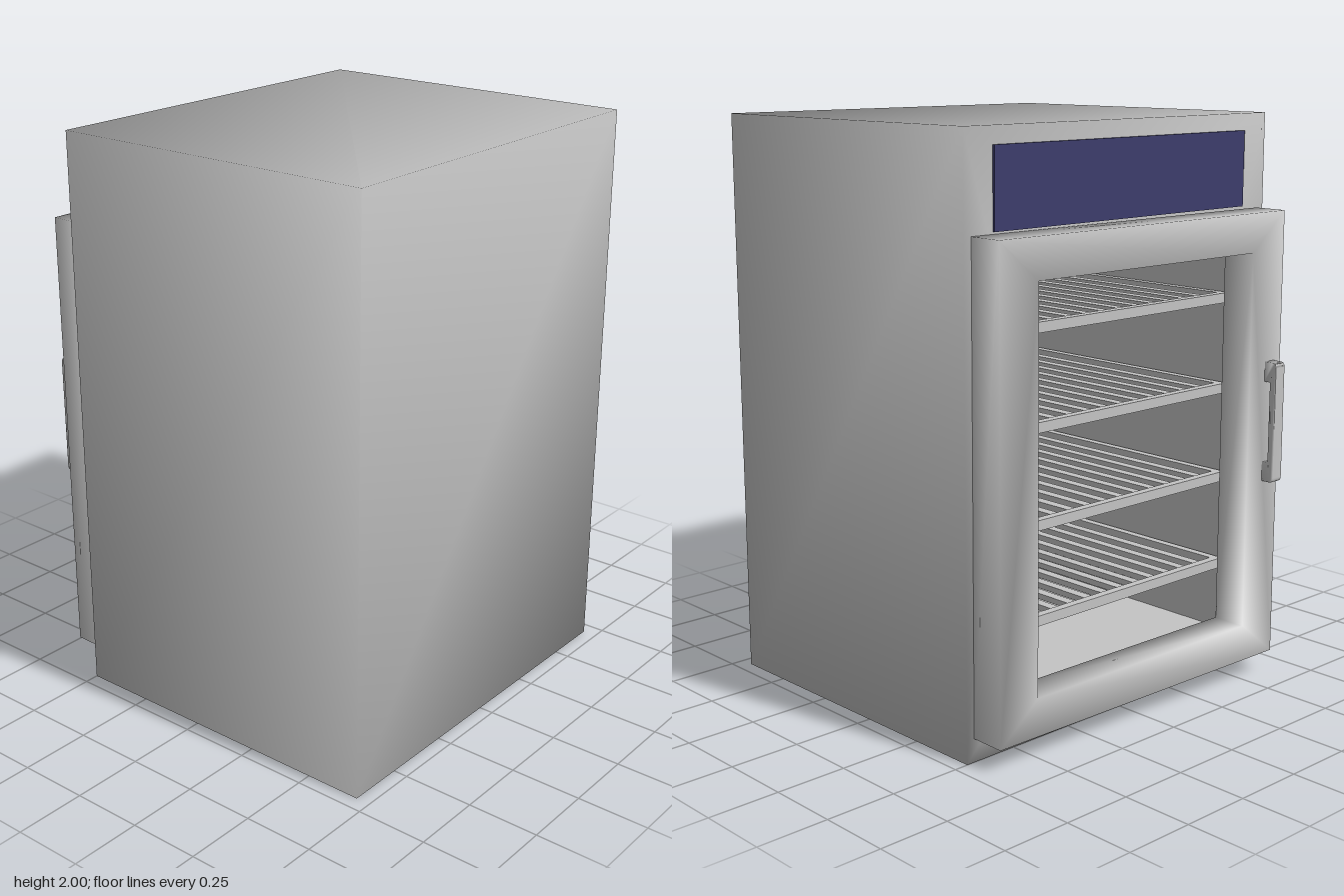
import * as THREE from 'three';
import { mergeVertices, mergeGeometries } from 'three/addons/utils/BufferGeometryUtils.js';

// weld corners so the shading runs softly across the edges
function soften(geo) {
  geo.deleteAttribute('normal');
  geo.deleteAttribute('uv');
  const g = mergeVertices(geo, 1e-4);
  g.computeVertexNormals();
  return g;
}

function rectPoints(x0, y0, x1, y1) {
  return [[x0, y0], [x1, y0], [x1, y1], [x0, y1]].map(([x, y]) => new THREE.Vector2(x, y));
}

// rectangle with a rectangular hole
function frameShape(outer, inner) {
  const s = new THREE.Shape(rectPoints(...outer));
  s.holes.push(new THREE.Path(rectPoints(...inner).reverse()));
  return s;
}

// box whose -z side is left out
function openBox(x0, x1, y0, y1, z0, z1) {
  const g = new THREE.BoxGeometry(x1 - x0, y1 - y0, z1 - z0);
  g.setIndex(Array.from(g.index.array).slice(0, 30));
  g.translate((x0 + x1) / 2, (y0 + y1) / 2, (z0 + z1) / 2);
  return g;
}

export function createModel() {
  const model = new THREE.Group();
  model.name = 'displayFridge';
  const grey = new THREE.MeshStandardMaterial({ color: 0xc4c4c4 });
  grey.name = 'grey metal';
  const blue = new THREE.MeshStandardMaterial({ color: 0x3c3c6c });
  blue.name = 'blue panel';

  const add = (parent, name, geo, mat = grey) => {
    const m = new THREE.Mesh(geo, mat);
    m.name = name;
    parent.add(m);
    return m;
  };
  const bar = (parent, name, w, h, d, x, y, z, mat) => {
    const m = add(parent, name, new THREE.BoxGeometry(w, h, d), mat);
    m.position.set(x, y, z);
    return m;
  };

  // outer cabinet, with the door side cut open
  const shell = openBox(-0.7, 0.7, 0, 2, -0.5, 0.7);
  const face = new THREE.ShapeGeometry(
    frameShape([-0.7, 0, 0.7, 2], [-0.58, 0.13, 0.58, 1.6]));
  face.rotateY(Math.PI).translate(0, 0, -0.5);
  add(model, 'cabinet', soften(mergeGeometries([shell, face])));

  // inside walls, turned to face inwards
  const cavity = openBox(-0.58, 0.58, 0.13, 1.6, -0.5, 0.6);
  const idx = cavity.index.array;
  for (let i = 0; i < idx.length; i += 3) [idx[i], idx[i + 1]] = [idx[i + 1], idx[i]];
  cavity.computeVertexNormals();
  add(model, 'interior', cavity);

  // coloured header panel over the door
  bar(model, 'headerPanel', 1.165, 0.26, 0.008, 0, 1.812, -0.504, blue);

  // slatted shelves
  for (const y of [0.385, 0.71, 1.035, 1.36]) {
    const shelf = new THREE.Group();
    shelf.name = 'shelf';
    shelf.position.y = y;
    model.add(shelf);
    for (const z of [-0.45, 0.57]) bar(shelf, 'shelfRail', 1.14, 0.035, 0.03, 0, 0, z);
    for (const x of [-0.555, 0.555]) bar(shelf, 'shelfSide', 0.03, 0.035, 1.0, x, 0, 0.06);
    for (let i = 0; i < 13; i++) {
      bar(shelf, 'shelfSlat', 0.035, 0.02, 1.0, (i - 6) * 0.08, 0, 0.06);
    }
  }

  // door, standing slightly ajar on its hinge edge
  const door = new THREE.Group();
  door.name = 'door';
  door.position.set(0.67, 0, -0.5);
  door.rotation.y = -0.0175;
  model.add(door);
  const depth = 0.125;
  const frame = new THREE.ExtrudeGeometry(
    frameShape([-1.31, 0.08, 0, 1.675], [-1.15, 0.21, -0.16, 1.54]),
    { depth, bevelEnabled: false });
  frame.translate(0, 0, -depth);
  add(door, 'doorFrame', soften(frame));

  // bracket handle, drawn from the side: u points away from the door
  const s = new THREE.Shape();
  s.moveTo(0, -0.213);
  s.lineTo(0.035, -0.213);
  s.quadraticCurveTo(0.05, -0.213, 0.05, -0.195);
  s.lineTo(0.05, 0.195);
  s.quadraticCurveTo(0.05, 0.213, 0.035, 0.213);
  s.lineTo(0, 0.213);
  s.lineTo(0, 0.143);
  s.lineTo(0.025, 0.143);
  s.lineTo(0.025, -0.143);
  s.lineTo(0, -0.143);
  const handle = new THREE.ExtrudeGeometry(s, { depth: 0.045, bevelEnabled: false, curveSegments: 5 });
  handle.rotateY(Math.PI / 2).translate(-1.275, 0.943, -depth);
  add(door, 'doorHandle', soften(handle));

  return model;
}
